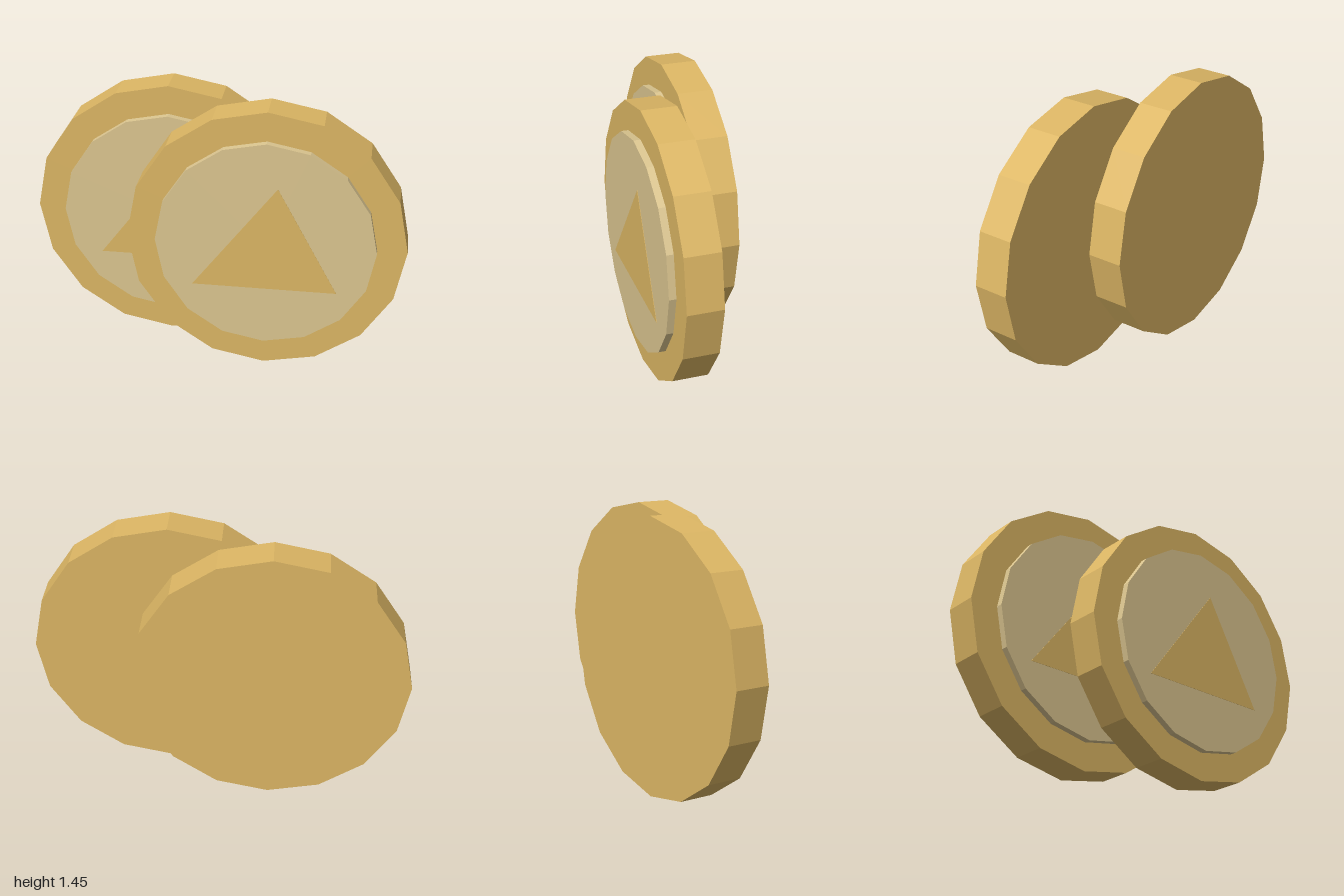
import * as THREE from 'three';

const gold = new THREE.MeshStandardMaterial({ color: 0xdcb664, flatShading: true });
gold.name = 'gold';
const paleGold = new THREE.MeshStandardMaterial({ color: 0xdcc690, flatShading: true });
paleGold.name = 'pale gold';

const SIDES = 16;

// Sixteen-sided disc facing +z, spanning z0 to z1
function disc(name, radius, z0, z1, material) {
  const geometry = new THREE.CylinderGeometry(radius, radius, z1 - z0, SIDES);
  geometry.rotateX(Math.PI / 2);
  geometry.translate(0, 0, (z0 + z1) / 2);
  const mesh = new THREE.Mesh(geometry, material);
  mesh.name = name;
  return mesh;
}

// One coin: rim body, raised face and triangular emblem, with its back at z = 0
function coin(name) {
  const group = new THREE.Group();
  group.name = name;
  group.add(disc('coinBody', 0.727, 0, 0.187, gold));
  group.add(disc('raisedFace', 0.573, 0.187, 0.224, paleGold));

  // Thin emblem plate on the raised face
  const triangle = new THREE.Shape([
    new THREE.Vector2(-0.378, -0.248),
    new THREE.Vector2(0.377, -0.248),
    new THREE.Vector2(0.062, 0.332),
  ]);
  const plate = new THREE.ExtrudeGeometry(triangle, { depth: 0.003, bevelEnabled: false });
  const emblem = new THREE.Mesh(plate, gold);
  emblem.name = 'triangleEmblem';
  emblem.position.z = 0.223;
  group.add(emblem);
  return group;
}

export function createModel() {
  const model = new THREE.Group();
  model.name = 'coinPair';

  const frontCoin = coin('frontCoin');
  frontCoin.position.set(0.273, 0.727, 0.026);
  const backCoin = coin('backCoin');
  backCoin.position.set(-0.273, 0.727, -0.251);

  model.add(frontCoin, backCoin);
  return model;
}
